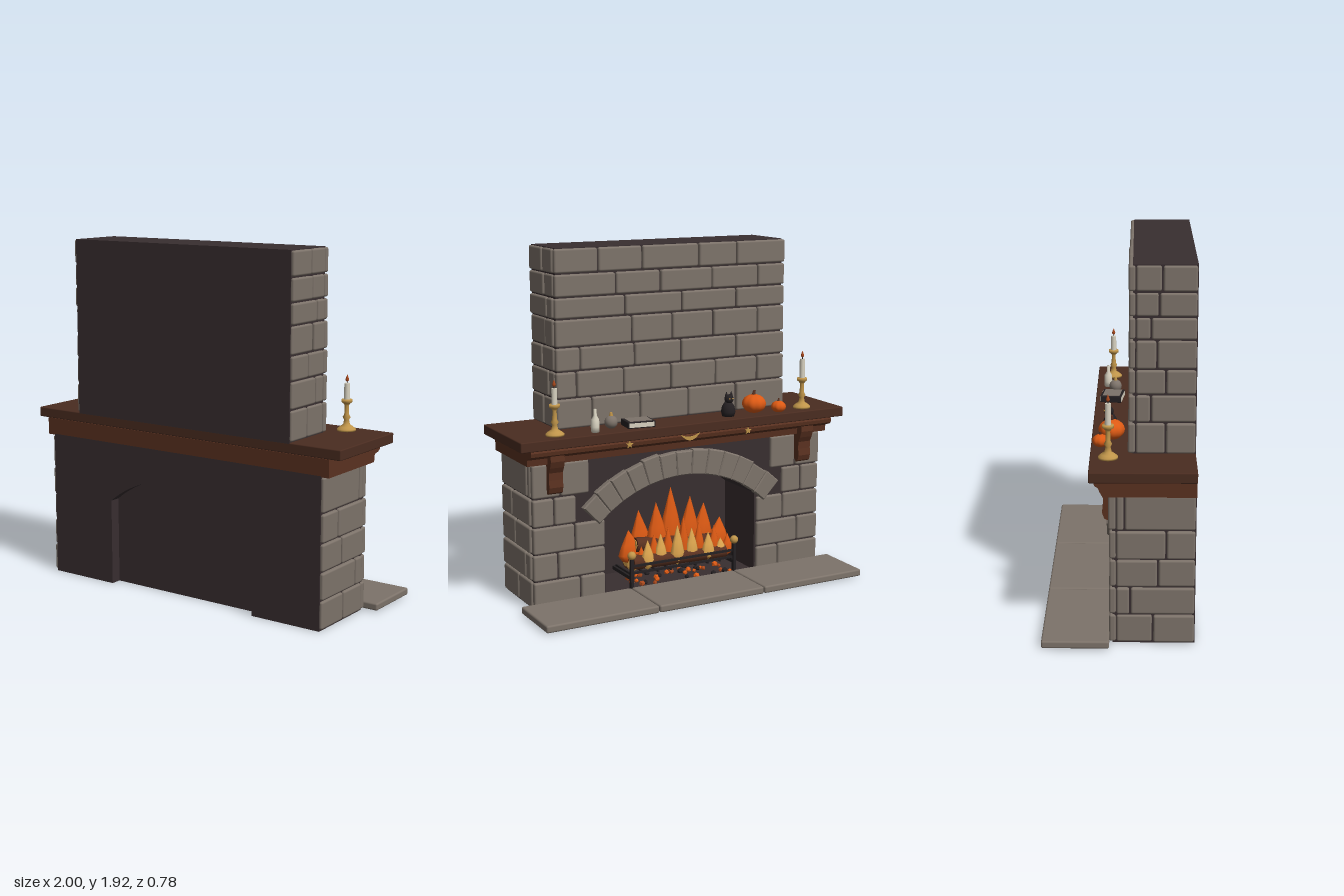
import * as THREE from 'three';
import { RoundedBoxGeometry } from 'three/addons/geometries/RoundedBoxGeometry.js';

const mat = (name, color) => {
  const m = new THREE.MeshStandardMaterial({ color });
  m.name = name;
  return m;
};

export function createModel() {
  const root = new THREE.Group();
  root.name = 'fireplace';
  const stone = mat('stone', 0x7d736a), soot = mat('soot', 0x382e30), shelfWood = mat('shelfWood', 0x4a2c20),
    trimWood = mat('trimWood', 0x5a3120), brass = mat('brass', 0xc0954a), wax = mat('wax', 0xd8d2c0),
    orange = mat('orange', 0xdd5a14), amber = mat('amber', 0xe0a850), iron = mat('iron', 0x242022),
    ember = mat('ember', 0xa8481c);

  let seed = 7;
  const rnd = () => (seed = (seed * 16807) % 2147483647) / 2147483647;
  const add = (name, geo, m, x = 0, y = 0, z = 0, parent = root) => {
    const mesh = new THREE.Mesh(geo, m);
    mesh.name = name;
    mesh.position.set(x, y, z);
    parent.add(mesh);
    return mesh;
  };
  const group = (name, x = 0, y = 0, z = 0) => {
    const g = new THREE.Group();
    g.name = name;
    g.position.set(x, y, z);
    root.add(g);
    return g;
  };
  const box = (name, m, x0, x1, y0, y1, z0, z1, r = 0, parent = root) => {
    const s = [x1 - x0, y1 - y0, z1 - z0];
    return add(name, r ? new RoundedBoxGeometry(...s, 2, r) : new THREE.BoxGeometry(...s), m,
      (x0 + x1) / 2, (y0 + y1) / 2, (z0 + z1) / 2, parent);
  };
  const lathe = (pts, seg = 20) => new THREE.LatheGeometry(pts.map(p => new THREE.Vector2(...p)), seg);
  const extrude = (shape, depth) => new THREE.ExtrudeGeometry(shape, { depth, bevelEnabled: false, curveSegments: 20 });
  // Profile of (z, y) points extruded along x, centred
  const alongX = (pts, w) => extrude(new THREE.Shape(pts.map(p => new THREE.Vector2(...p))), w)
    .rotateY(-Math.PI / 2).translate(w / 2, 0, 0);

  // Masonry core with an arched firebox
  const W = 0.475, R = 0.7486, CY = -0.0986, A = Math.asin(W / R);
  const core = new THREE.Shape();
  core.moveTo(-0.89, 0).lineTo(-W, 0).lineTo(-W, 0.48);
  core.absarc(0, CY, R, Math.PI / 2 + A, Math.PI / 2 - A, true);
  core.lineTo(W, 0).lineTo(0.89, 0).lineTo(0.89, 0.81).lineTo(-0.89, 0.81).closePath();
  add('lowerCore', extrude(core, 0.42), soot, 0, 0, -0.03);
  const panel = new THREE.Shape();
  panel.moveTo(-W, 0).lineTo(W, 0).lineTo(W, 0.48);
  panel.absarc(0, CY, R, Math.PI / 2 - A, Math.PI / 2 + A, false);
  panel.closePath();
  add('fireboxBack', extrude(panel, 0.03), soot, 0, 0, 0.3);
  box('fireboxFloor', soot, -W, W, 0, 0.02, -0.04, 0.31);
  box('chimneyCore', soot, -0.7, 0.7, 0.95, 1.92, 0.07, 0.39);

  // Stone courses: joints are x on the front, z on the sides
  const stones = group('stones');
  const g = 0.004;
  const front = (joints, y0, y1, zf, zb) => joints.slice(1).forEach((b, i) =>
    box('frontStone', stone, joints[i] + g, b - g, y0 + g, y1 - g, zf - rnd() * 0.008, zb, 0.011, stones));
  const sides = (joints, y0, y1, xo) => [-1, 1].forEach(s => joints.slice(1).forEach((b, i) => {
    const o = s * (xo + rnd() * 0.008), n = s * (xo - 0.035);
    box('sideStone', stone, Math.min(o, n), Math.max(o, n), y0 + g, y1 - g, joints[i] + g, b - g, 0.011, stones);
  }));

  const lowY = [0.005, 0.16, 0.31, 0.46, 0.615, 0.805];
  const lowSide = [0.175, 0.06, 0.2, 0.24, 0.03];
  const lowFront = [[0.48, 0.63, 0.905], [0.48, 0.76, 0.905], [0.48, 0.66, 0.905], [0.65, 0.78, 0.905], [0.57, 0.74, 0.905]];
  lowSide.forEach((z, i) => {
    sides([-0.012, z, 0.39], lowY[i], lowY[i + 1], 0.903);
    front(lowFront[i], lowY[i], lowY[i + 1], -0.043, -0.012);
    front(lowFront[i].map(x => -x).reverse(), lowY[i], lowY[i + 1], -0.043, -0.012);
  });

  const topY = [0.955, 1.12, 1.265, 1.395, 1.545, 1.66, 1.785, 1.92];
  const topSide = [0.235, 0.16, 0.235, 0.19, 0.16, 0.2, 0.215];
  topSide.forEach((z, i) => {
    sides([0.083, z, 0.39], topY[i], topY[i + 1], 0.71);
    const joints = [-0.715];
    for (let x = -0.715 + (i % 2 ? 0.18 : 0.32); x < 0.6; x += 0.24 + rnd() * 0.12) joints.push(x);
    front([...joints, 0.715], topY[i], topY[i + 1], 0.053, 0.082);
  });

  // Arch stones
  const N = 13, span = 0.77;
  for (let i = 0; i < N; i++) {
    const a0 = -span + (2 * span * i) / N + 0.008, a1 = -span + (2 * span * (i + 1)) / N - 0.008;
    const p = (r, a) => new THREE.Vector2(r * Math.sin(a), CY + r * Math.cos(a));
    const r0 = R + 0.006, r1 = R + 0.13 + rnd() * 0.012;
    const geo = new THREE.ExtrudeGeometry(new THREE.Shape([p(r0, a0), p(r0, a1), p(r1, a1), p(r1, a0)]),
      { depth: 0.045, bevelSize: 0.006, bevelThickness: 0.006, bevelSegments: 1 });
    add('archStone', geo, stone, 0, 0, -0.058, stones);
  }

  // Hearth slabs
  [[-0.98, -0.33], [-0.325, 0.325], [0.33, 0.98]].forEach(([a, b]) =>
    box('hearthSlab', stone, a, b, 0.005, 0.045, -0.39, -0.045, 0.01));

  // Mantel shelf, moulding and corbels
  box('mantelShelf', shelfWood, -1, 1, 0.9, 0.955, -0.145, 0.39, 0.006);
  add('mantelMoulding', alongX([[0.39, 0.805], [0.39, 0.9], [-0.115, 0.9], [-0.122, 0.885], [-0.118, 0.865],
    [-0.1, 0.853], [-0.075, 0.85], [-0.065, 0.84], [-0.06, 0.805]], 1.87), trimWood);
  for (const s of [-1, 1]) add('corbel', alongX([[-0.03, 0.86], [-0.105, 0.86], [-0.108, 0.825], [-0.095, 0.79],
    [-0.078, 0.76], [-0.078, 0.72], [-0.082, 0.68], [-0.072, 0.65], [-0.055, 0.64], [-0.03, 0.66]], 0.08), trimWood, s * 0.78);

  // Brass crescent and stars on the moulding
  const moon = new THREE.Shape();
  moon.moveTo(-0.06, 0.02).quadraticCurveTo(0, -0.055, 0.06, 0.02).quadraticCurveTo(0, -0.015, -0.06, 0.02);
  add('crescent', extrude(moon, 0.009), brass, 0, 0.878, -0.13);
  const star = new THREE.Shape(Array.from({ length: 10 }, (_, i) => {
    const r = i % 2 ? 0.009 : 0.021, a = (i * Math.PI) / 5;
    return new THREE.Vector2(r * Math.sin(a), r * Math.cos(a));
  }));
  for (const s of [-1, 1]) add('star', extrude(star, 0.009), brass, s * 0.37, 0.876, -0.13);

  // Candlesticks
  const flameGeo = lathe([[0, 0], [0.35, 0.12], [0.5, 0.3], [0.33, 0.58], [0.12, 0.85], [0, 1]], 8);
  for (const [x, k, h] of [[-0.775, 1, 0.11], [0.77, 0.95, 0.085]]) {
    const c = group('candlestick', x, 0.955, -0.052);
    add('stick', lathe([[0, 0], [0.05, 0], [0.05, 0.01], [0.036, 0.022], [0.018, 0.035], [0.013, 0.06], [0.021, 0.075],
      [0.013, 0.09], [0.011, 0.14], [0.018, 0.152], [0.029, 0.16], [0.029, 0.175], [0, 0.175]].map(([r, y]) => [r, y * k])),
    brass, 0, 0, 0, c);
    add('candle', new THREE.CylinderGeometry(0.015, 0.016, h, 14), wax, 0, 0.175 * k + h / 2, 0, c);
    add('wick', new THREE.CylinderGeometry(0.002, 0.002, 0.02, 6), iron, 0, 0.175 * k + h + 0.005, 0, c);
    add('candleFlame', flameGeo, ember, 0, 0.178 * k + h + 0.004, 0, c).scale.set(0.02, 0.04, 0.02);
  }

  // Pumpkins with ribbed bodies
  for (const [x, z, r] of [[-0.59, -0.095, 0.042], [-0.46, -0.04, 0.068]]) {
    const geo = new THREE.SphereGeometry(r, 40, 16), p = geo.attributes.position;
    for (let i = 0; i < p.count; i++) {
      const px = p.getX(i), pz = p.getZ(i), k = 0.94 + 0.07 * Math.abs(Math.cos(4 * Math.atan2(pz, px)));
      p.setXYZ(i, px * k, p.getY(i) * 0.78, pz * k);
    }
    geo.computeVertexNormals();
    const b = group('pumpkin', x, 0.955 + r * 0.77, z);
    add('pumpkinBody', geo, orange, 0, 0, 0, b);
    add('pumpkinStem', new THREE.CylinderGeometry(r * 0.1, r * 0.18, r * 0.45, 7), trimWood, 0, r * 0.9, 0, b).rotation.z = 0.25;
  }

  // Black cat figurine
  const cat = group('catFigurine', -0.285, 0.955, -0.05);
  add('catBody', lathe([[0, 0], [0.034, 0], [0.041, 0.025], [0.035, 0.055], [0.02, 0.08], [0, 0.085]]), iron, 0, 0, 0, cat);
  add('catHead', new THREE.SphereGeometry(0.026, 16, 12), iron, 0, 0.098, -0.008, cat);
  for (const s of [-1, 1]) {
    add('catEar', new THREE.ConeGeometry(0.01, 0.026, 6), iron, s * 0.015, 0.128, -0.006, cat);
    add('catEye', new THREE.SphereGeometry(0.004, 8, 6), amber, s * 0.01, 0.102, -0.032, cat);
  }

  // Book, globe and bottle
  const book = group('book', 0.28, 0.955, -0.05);
  book.rotation.y = -0.12;
  box('bookCover', iron, -0.078, 0.078, 0, 0.036, -0.06, 0.06, 0.004, book);
  box('bookPages', wax, -0.072, 0.072, 0.006, 0.03, -0.062, 0.062, 0, book);
  box('bookPanel', stone, -0.064, 0.064, 0.034, 0.039, -0.048, 0.048, 0, book);
  add('globe', new THREE.SphereGeometry(0.036, 20, 14), stone, 0.435, 0.99, -0.035);
  add('globeKnob', new THREE.CylinderGeometry(0.008, 0.011, 0.02, 10), brass, 0.435, 1.032, -0.035);
  add('bottle', lathe([[0, 0], [0.021, 0], [0.024, 0.03], [0.021, 0.07], [0.009, 0.09], [0.009, 0.125], [0, 0.125]], 16),
    wax, 0.55, 0.955, -0.08);

  // Fire grate, andirons and logs
  const fire = group('fire', -0.03, 0.02, 0.1);
  for (const y of [0.08, 0.12]) box('grateRail', iron, -0.33, 0.33, y, y + 0.012, -0.1, -0.088, 0, fire);
  for (let i = 0; i < 9; i++) box('grateBar', iron, -0.325 + i * 0.08, -0.315 + i * 0.08, 0.07, 0.08, -0.1, 0.12, 0, fire);
  for (const s of [-1, 1]) {
    box('andironPost', iron, s * 0.33 - 0.009, s * 0.33 + 0.009, 0, 0.17, -0.11, -0.09, 0, fire);
    box('andironFoot', iron, s * 0.33 - 0.009, s * 0.33 + 0.009, 0.05, 0.07, -0.1, 0.13, 0, fire);
    add('andironBall', new THREE.SphereGeometry(0.024, 14, 10), brass, s * 0.33, 0.19, -0.1, fire);
  }
  for (const [y, z, len, tilt] of [[0.12, -0.04, 0.6, 0.03], [0.12, 0.06, 0.58, -0.04], [0.19, 0.02, 0.5, 0.08]]) {
    const log = add('log', new THREE.CylinderGeometry(0.038, 0.042, len, 10), trimWood, 0, y, z, fire);
    log.rotation.z = Math.PI / 2 + tilt;
    for (const s of [-1, 1]) add('logEnd', new THREE.CylinderGeometry(0.03, 0.03, 0.006, 10), amber, 0, s * len / 2, 0, log);
  }

  // Flames, tall orange behind and short amber in front
  [[-0.29, 0.2], [-0.2, 0.29], [-0.1, 0.35], [0.0, 0.41], [0.1, 0.34], [0.19, 0.3], [0.27, 0.2]].forEach(([x, h], i) => {
    const o = add('outerFlame', flameGeo, orange, x, 0.1, 0.03 + (i % 2) * 0.03, fire);
    o.scale.set(0.15, h, 0.07);
    o.rotation.z = -x * 0.3;
    add('innerFlame', flameGeo, amber, x + 0.02, 0.08, -0.045 - (i % 2) * 0.015, fire).scale.set(0.09, h * 0.58, 0.05);
    add('frontFlame', flameGeo, orange, x - 0.035, 0.08, -0.03, fire).scale.set(0.08, h * 0.66, 0.05);
  });

  // Embers on the firebox floor
  for (let i = 0; i < 34; i++) {
    const e = add('coal', new THREE.IcosahedronGeometry(0.011 + rnd() * 0.009, 0), [orange, iron, ember][i % 3],
      (rnd() - 0.5) * 0.6, 0.008, -0.11 + rnd() * 0.2, fire);
    e.rotation.set(rnd() * 3, rnd() * 3, 0);
  }
  return root;
}
